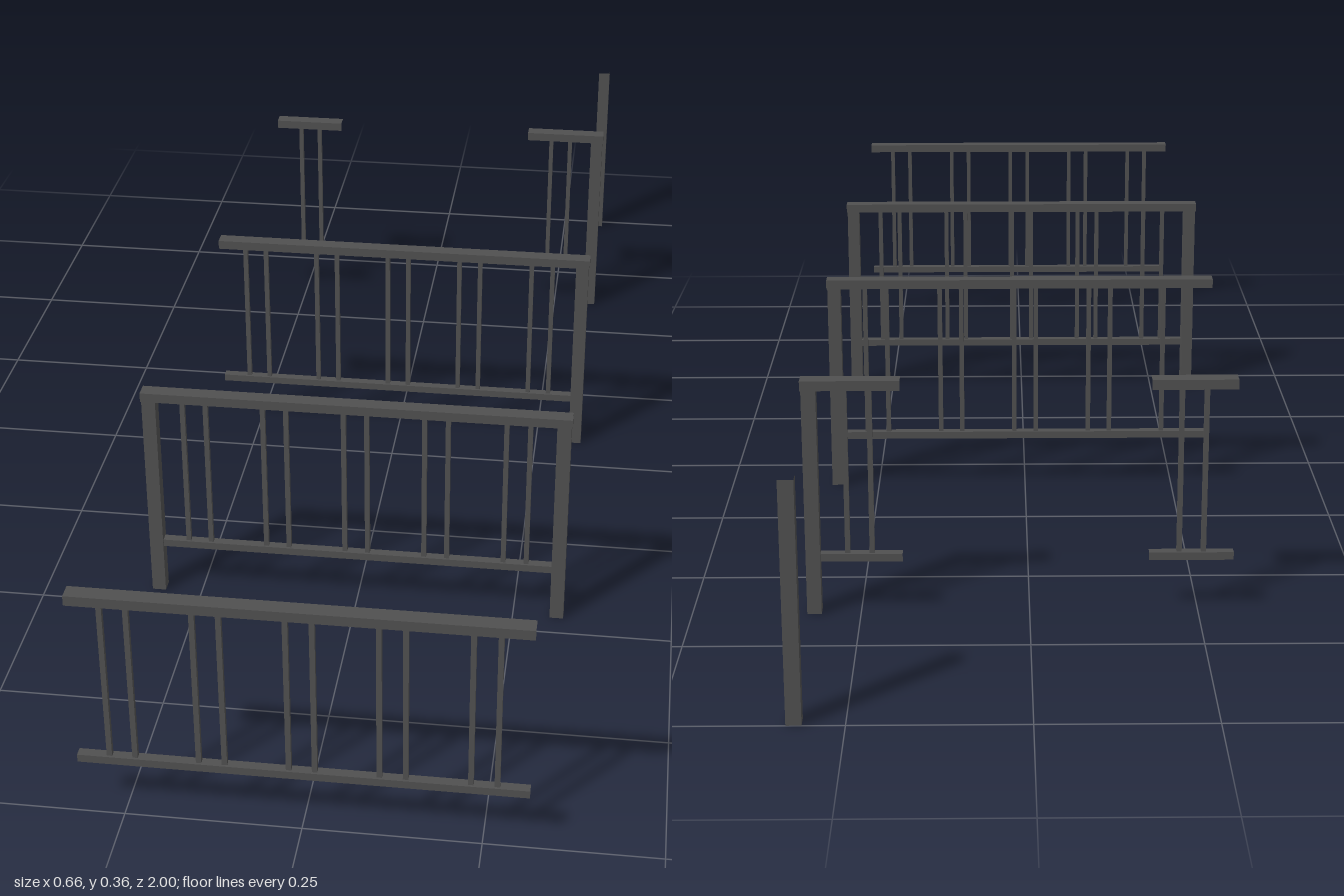
import * as THREE from 'three';

const iron = new THREE.MeshStandardMaterial({ color: 0x505050 });
iron.name = 'darkGreyIron';

const POST = 0.0215, POST_X = 0.319;
const RAIL_TOP = 0.363, RAIL_BOTTOM = 0.348;

// Box given by its limits; `open` lists the sides left out (joining ends)
const SIDES = ['+x', '-x', '+y', '-y', '+z', '-z'];
function bar(name, x0, x1, y0, y1, depth, open = []) {
  const geo = new THREE.BoxGeometry(x1 - x0, y1 - y0, depth);
  const index = Array.from(geo.index.array);
  geo.setIndex(index.filter((_, i) => !open.includes(SIDES[Math.floor(i / 6)])));
  geo.clearGroups();
  const mesh = new THREE.Mesh(geo, iron);
  mesh.name = name;
  mesh.position.set((x0 + x1) / 2, (y0 + y1) / 2, 0);
  return mesh;
}

function post(x) {
  return bar('post', x - POST / 2, x + POST / 2, 0, RAIL_BOTTOM, POST, ['+y']);
}

// Railing section: two rails, pairs of balusters and optional end posts
function section(name, z, x0, x1, pairs, leftPost, rightPost) {
  const g = new THREE.Group();
  g.name = name;
  g.position.z = z;
  const openTop = [];
  if (!rightPost) openTop.push('-x');
  if (!leftPost) openTop.push('+x');
  const capEnd = POST_X + 0.0122;
  const inner = POST_X - POST / 2;
  g.add(bar('topRail', rightPost ? -capEnd : x0, leftPost ? capEnd : x1,
    RAIL_BOTTOM, RAIL_TOP, 0.024, openTop));
  g.add(bar('bottomRail', rightPost ? -inner : x0, leftPost ? inner : x1,
    0.082, 0.094, 0.0145, ['+x', '-x']));
  for (const c of pairs) {
    for (const s of [-1, 1]) {
      const x = c + s * 0.018;
      g.add(bar('baluster', x - 0.0038, x + 0.0038, 0.094, 0.356, 0.0076, ['+y', '-y']));
    }
  }
  if (leftPost) g.add(post(POST_X));
  if (rightPost) g.add(post(-POST_X));
  return g;
}

export function createModel() {
  const model = new THREE.Group();
  model.name = 'railingKit';
  const five = [-0.25, -0.125, 0, 0.125, 0.25];

  // Full-length sections with no, two and one end posts
  model.add(section('middleSection', 0.988, -0.313, 0.313, five, false, false));
  model.add(section('twoPostSection', 0.45, -0.313, 0.313, five, true, true));
  model.add(section('onePostSection', -0.0875, -0.313, 0.313, five, true, false));

  // Short sections
  model.add(section('shortMiddleSection', -0.627, -0.301, -0.176, [-0.2385], false, false));
  model.add(section('shortPostSection', -0.627, 0.187, 0.313, [0.25], true, false));

  // Loose post
  const single = post(POST_X);
  single.name = 'singlePost';
  single.position.z = -0.989;
  model.add(single);
  return model;
}
